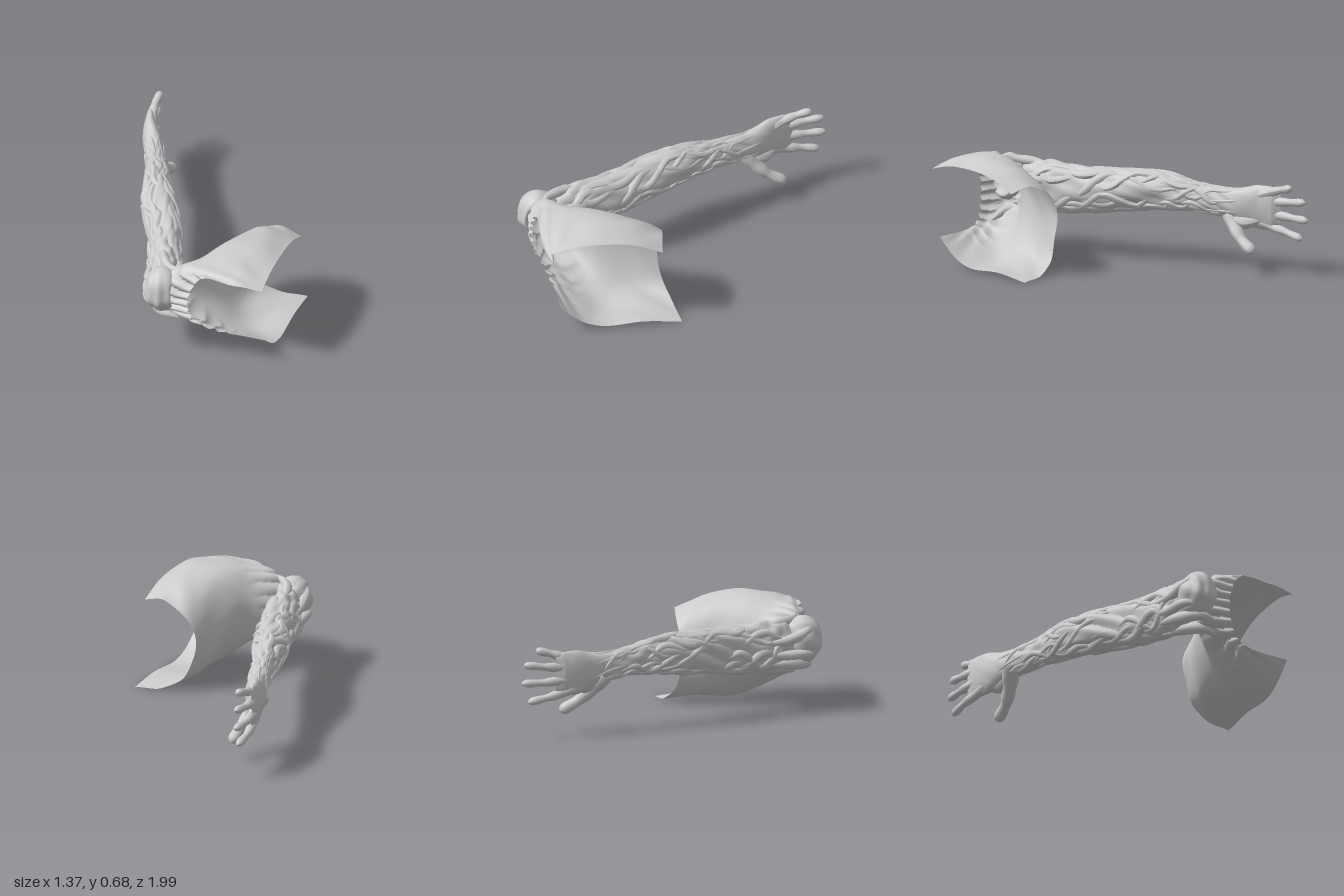
import * as THREE from 'three';
import { ParametricGeometry } from 'three/addons/geometries/ParametricGeometry.js';

const V = (x, y, z) => new THREE.Vector3(x, y, z);
const curveOf = pts => new THREE.CatmullRomCurve3(pts.map(p => V(...p)));
const { lerp, smoothstep, clamp } = THREE.MathUtils;

export function createModel() {
  const group = new THREE.Group();
  const skin = new THREE.MeshStandardMaterial({ color: 0xcccccc });
  const thin = new THREE.MeshStandardMaterial({ color: 0xcccccc, side: THREE.DoubleSide });
  const add = (name, geometry, material = skin) => {
    const mesh = new THREE.Mesh(geometry, material);
    mesh.name = name;
    group.add(mesh);
    return mesh;
  };

  // Round tube whose radius follows a rule r(t)
  const taperedTube = (name, curve, radius, segs = 24, sides = 10) => {
    const geo = new THREE.TubeGeometry(curve, segs, 1, sides);
    const pos = geo.attributes.position, p = V(0, 0, 0);
    for (let i = 0; i <= segs; i++) {
      const c = curve.getPointAt(i / segs), r = radius(i / segs);
      for (let j = 0; j <= sides; j++) {
        const k = i * (sides + 1) + j;
        p.fromBufferAttribute(pos, k).sub(c).multiplyScalar(r).add(c);
        pos.setXYZ(k, p.x, p.y, p.z);
      }
    }
    geo.computeVertexNormals();
    return add(name, geo);
  };
  const spindle = r => t => r * Math.pow(Math.max(Math.sin(Math.PI * t), 0), 0.7) + 0.0005;

  // Torso shell: C-shaped sections from waist to neck, open on +x; the last two wrap round the shoulder
  const sections = [
    [[.685, .53, .19], [.53, .56, .17], [.41, .50, .16], [.32, .36, .17], [.335, .2, .17], [.39, .08, .14], [.52, .02, .1], [.685, 0, .07]],
    [[.685, .60, .36], [.52, .64, .35], [.37, .58, .35], [.285, .42, .35], [.29, .25, .35], [.38, .08, .33], [.52, .03, .31], [.685, .025, .3]],
    [[.685, .625, .56], [.5, .68, .55], [.33, .63, .55], [.23, .45, .54], [.25, .25, .54], [.37, .08, .54], [.52, .025, .54], [.685, .015, .54]],
    [[.685, .62, .72], [.5, .655, .72], [.25, .625, .71], [.13, .45, .69], [.15, .28, .69], [.33, .13, .68], [.5, .07, .67], [.685, .05, .66]],
    [[.685, .6, .81], [.5, .63, .84], [.17, .605, .84], [.04, .47, .9], [.05, .32, .88], [.28, .19, .8], [.5, .125, .76], [.685, .115, .75]],
    [[.685, .58, .88], [.5, .605, .91], [.3, .6, .91], [.235, .47, .93], [.24, .33, .92], [.33, .2, .85], [.5, .175, .82], [.685, .17, .81]],
  ].map(curveOf);
  // Folds are pressed into the shell around the shoulder and along the lower front rim
  add('torsoShell', new ParametricGeometry((u, v, out) => {
    out.copy(new THREE.CatmullRomCurve3(sections.map(c => c.getPoint(u))).getPoint(v));
    const fade = Math.min(1, (1 - u) * 8, u * 8);
    const folded = smoothstep(u, 0.2, 0.36) * (1 - smoothstep(u, 0.7, 0.88)) * smoothstep(v, 0.5, 0.78);
    const fold = 0.028 * folded * (Math.abs(Math.sin(52 * u - 5 * v + 1.2 * Math.sin(9 * v + 6 * u))) - 0.6);
    const outward = V(out.x - 0.6, out.y - 0.35, 0).normalize();
    const facing = smoothstep(v, 0.78, 0.92);
    out.addScaledVector(outward, fold * (1 - 0.7 * facing));
    out.z += fold * facing;
    out.y += 0.006 * fade * Math.sin(23 * u + 9 * v + 2 * Math.sin(7 * v)) * Math.sin(11 * v + 5 * u);
    out.x += 0.006 * fade * Math.sin(17 * v + 12 * u);
  }, 150, 70), thin);

  // Arm stations: x, y, z, half width, half height
  const stations = [
    [.0, .42, .82, .05, .08], [-.005, .415, .74, .085, .14], [-.04, .41, .6, .1, .155],
    [-.135, .41, .35, .1, .145], [-.26, .435, .1, .112, .13], [-.36, .435, -.13, .08, .118],
    [-.43, .42, -.3, .063, .092], [-.495, .405, -.45, .06, .09], [-.54, .395, -.55, .06, .108],
    [-.595, .39, -.65, .048, .135], [-.628, .39, -.74, .034, .132], [-.647, .39, -.785, .008, .1],
  ];
  const axis = curveOf(stations);
  const sizes = curveOf(stations.map(s => [s[3], s[4], 0]));
  const up = V(0, 1, 0);
  const armPoint = (s, a, scale) => {
    const side = axis.getTangent(s).setY(0).normalize().cross(up);
    const r = sizes.getPoint(s);
    return axis.getPoint(s)
      .addScaledVector(side, Math.cos(a) * r.x * scale)
      .addScaledVector(up, Math.sin(a) * r.y * scale);
  };
  // Arm and palm: one sweep with twisted muscle grooves that fade out at the hand
  add('arm', new ParametricGeometry((u, v, out) => {
    const a = v * Math.PI * 2;
    const rough = clamp((0.76 - u) * 5, 0.12, 1);
    const groove = 0.1 * (Math.abs(Math.sin(2 * a + 15 * u + 2 * Math.sin(11 * u + a))) - 0.9)
      + 0.04 * Math.sin(5 * a - 34 * u + 2 * Math.sin(19 * u))
      + 0.025 * Math.sin(9 * a + 61 * u);
    out.copy(armPoint(u, a, 1 + rough * groove));
  }, 180, 72));

  // Muscle strands winding over the arm, half sunk in its surface
  for (let i = 0; i < 64; i++) {
    const s0 = 0.08 + 0.47 * ((i * 0.618) % 1), length = 0.1 + 0.08 * ((i * 0.37) % 1);
    const a0 = Math.PI * 2 * ((i * 0.4142) % 1), twist = (i % 3 - 1) * 0.9 + 0.3;
    const size = sizes.getPoint(s0 + length / 2);
    const pts = [];
    for (let k = 0; k <= 6; k++) {
      const t = k / 6;
      pts.push(armPoint(s0 + length * t, a0 + twist * t + 0.25 * Math.sin(7 * t + i), 0.87));
    }
    const r = (0.08 + 0.05 * ((i * 0.73) % 1)) * (size.x + size.y);
    taperedTube('muscleStrand', new THREE.CatmullRomCurve3(pts), spindle(r), 26, 10);
  }
  // Fine tendons over the wrist
  for (let i = 0; i < 8; i++) {
    const pts = [0, 1, 2, 3, 4].map(k => armPoint(0.56 + 0.045 * k, i * 0.79 + 0.1 * k, 0.95));
    taperedTube('tendon', new THREE.CatmullRomCurve3(pts), spindle(0.009), 20, 6);
  }

  // Fingers and thumb: rounded tips, slight swelling at the knuckles
  const fingerRadius = (root, tip) => t => {
    const knuckle = 0.002 * Math.cos((t - 0.5) * 18);
    const end = t > 0.88 ? Math.sqrt(Math.max(0, 1 - ((t - 0.88) / 0.12) ** 2)) : 1;
    return (lerp(root, tip, Math.min(1, t * 1.6)) + knuckle) * end + 0.0003;
  };
  [
    [[-.59, .46, -.64], [-.612, .49, -.73], [-.622, .515, -.81], [-.622, .54, -.905]],
    [[-.595, .42, -.64], [-.63, .43, -.74], [-.653, .44, -.85], [-.66, .457, -.985]],
    [[-.595, .36, -.64], [-.633, .352, -.74], [-.66, .345, -.86], [-.666, .345, -1]],
    [[-.59, .315, -.63], [-.625, .275, -.73], [-.65, .252, -.83], [-.66, .226, -.96]],
  ].forEach(pts => taperedTube('finger', curveOf(pts), fingerRadius(0.036, 0.023), 40, 14));
  taperedTube('thumb', curveOf([[-.53, .36, -.46], [-.5, .275, -.53], [-.48, .195, -.62], [-.478, .132, -.73]]),
    fingerRadius(0.056, 0.034), 40, 14);
  // Fleshy web between thumb and palm
  taperedTube('thumbWeb', curveOf([[-.53, .38, -.49], [-.53, .3, -.57], [-.58, .31, -.68]]), spindle(0.044), 24, 12);

  // Shoulder cap: grooved dome, dished in on its body side
  const cap = new THREE.SphereGeometry(1, 64, 40), cp = cap.attributes.position;
  for (let i = 0; i < cp.count; i++) {
    const x = cp.getX(i), y = cp.getY(i), z = cp.getZ(i);
    const k = 1 + 0.04 * Math.sin(11 * x + 3 * y * y) * (1 - y * y) + 0.025 * Math.sin(7 * y + 4 * z);
    cp.setXYZ(i, (x > 0.7 ? 1.4 - x : x) * k, y * k, z * k);
  }
  cap.computeVertexNormals();
  const shoulder = add('shoulderCap', cap);
  shoulder.scale.set(0.115, 0.145, 0.127);
  shoulder.position.set(0.04, 0.437, 0.86);

  // Heavy folds tying shoulder, armpit and upper arm together
  [
    [.036, [-.1, .31, .62], [-.04, .3, .78], [.04, .29, .89], [.16, .27, .9]],
    [.034, [-.06, .27, .55], [.03, .265, .72], [.12, .25, .81], [.26, .21, .8]],
    [.03, [-.05, .53, .58], [.0, .55, .72], [.07, .56, .81], [.16, .585, .84]],
    [.032, [-.12, .44, .6], [-.08, .45, .75], [-.04, .5, .88], [.04, .55, .93]],
    [.03, [-.13, .37, .58], [-.085, .36, .73], [-.05, .36, .88], [.05, .33, .95]],
    [.032, [.02, .45, .53], [.06, .46, .63], [.085, .47, .72], [.09, .48, .78]],
    [.032, [.02, .33, .53], [.06, .32, .63], [.09, .31, .72], [.1, .3, .78]],
  ].forEach(([r, ...pts]) => taperedTube('shoulderFold', curveOf(pts), spindle(r), 28, 12));
  return group;
}
